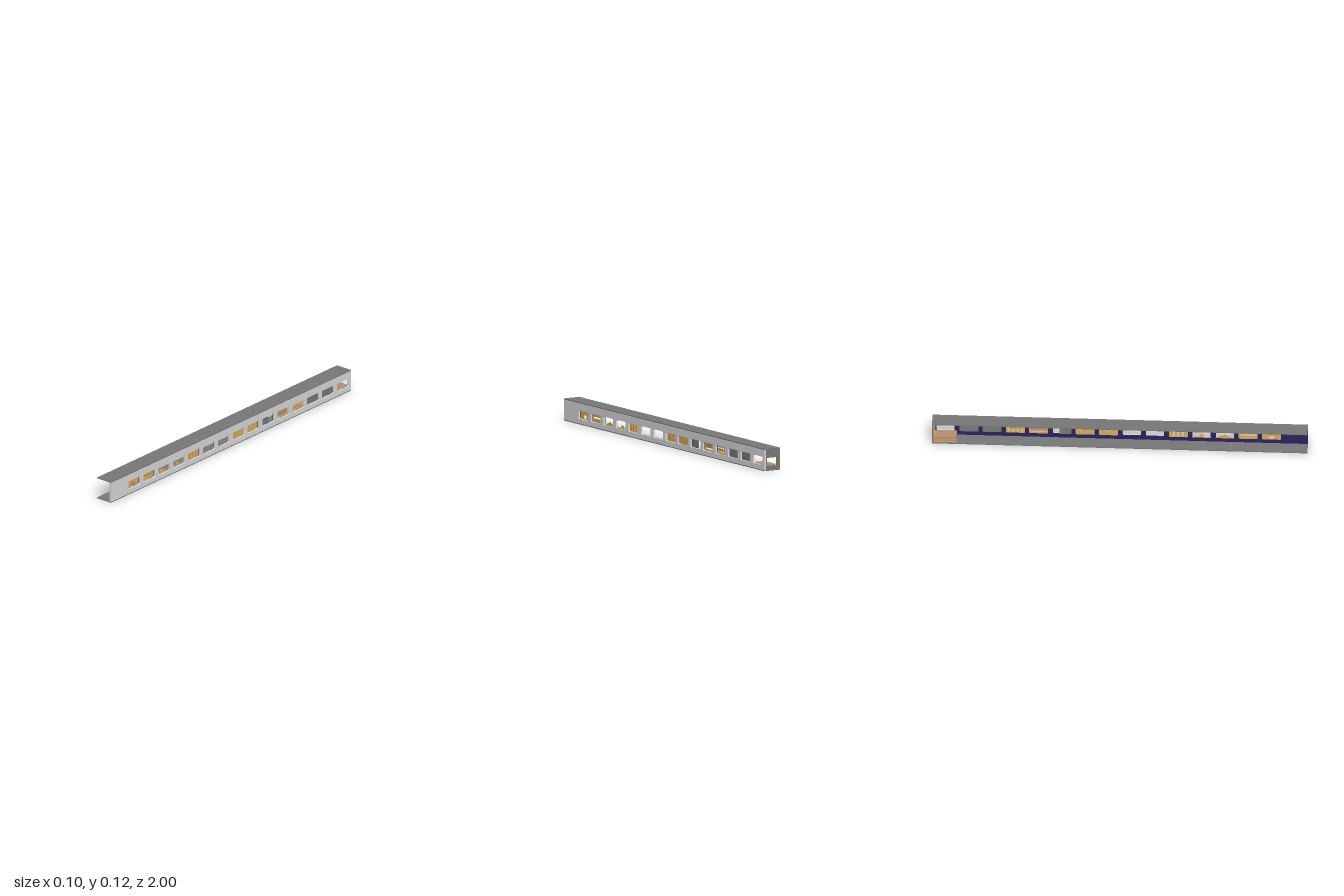
import * as THREE from 'three';

const mat = (name, color, side = THREE.FrontSide) => {
  const m = new THREE.MeshStandardMaterial({ color, side });
  m.name = name;
  return m;
};

// Rounded rectangle, for outlines and holes
function rounded(PathType, cx, cy, w, h, r) {
  const p = new PathType();
  const x0 = cx - w / 2, x1 = cx + w / 2, y0 = cy - h / 2, y1 = cy + h / 2;
  p.moveTo(x0 + r, y0);
  p.lineTo(x1 - r, y0);
  p.quadraticCurveTo(x1, y0, x1, y0 + r);
  p.lineTo(x1, y1 - r);
  p.quadraticCurveTo(x1, y1, x1 - r, y1);
  p.lineTo(x0 + r, y1);
  p.quadraticCurveTo(x0, y1, x0, y1 - r);
  p.lineTo(x0, y0 + r);
  p.quadraticCurveTo(x0, y0, x0 + r, y0);
  return p;
}

function plain(PathType, points) {
  return new PathType(points.map(([x, y]) => new THREE.Vector2(x, y)));
}

const rect = (T, x0, y0, x1, y1) => plain(T, [[x0, y0], [x1, y0], [x1, y1], [x0, y1]]);

export function createModel() {
  const model = new THREE.Group();
  const wallPaint = mat('light grey wall', 0xd9d9d9);
  const grey = mat('structure grey', 0x787878);
  const gold = mat('gold timber', 0xd9ab5c);
  const tan = mat('tan bench', 0xb8906c);
  const navy = mat('navy lining', 0x29235c, THREE.DoubleSide);

  function add(name, geometry, material, parent = model) {
    const mesh = new THREE.Mesh(geometry, material);
    mesh.name = name;
    parent.add(mesh);
    return mesh;
  }
  function box(name, x0, x1, y0, y1, z0, z1, material) {
    const m = add(name, new THREE.BoxGeometry(x1 - x0, y1 - y0, z1 - z0), material);
    m.position.set((x0 + x1) / 2, (y0 + y1) / 2, (z0 + z1) / 2);
  }
  // Extrude a side profile (u = -z, v = y) from x0 to x1
  function sidePlate(name, shape, x0, x1, material, parent = model) {
    const g = new THREE.ExtrudeGeometry(shape, { depth: x1 - x0, bevelEnabled: false, curveSegments: 4 });
    g.rotateY(Math.PI / 2).translate(x0, 0, 0);
    return add(name, g, material, parent);
  }

  // Floor and ceiling
  box('floor', -0.049, 0.049, 0, 0.0045, -1, 1, grey);
  box('ceiling', -0.049, 0.049, 0.1145, 0.119, -1, 1, grey);

  // Long wall and its thin lining, pierced by a row of windows
  const W = 0.097, H = 0.045, midY = 0.0525, count = 15;
  const windowU = i => -0.805 + i * 0.124;
  const pierced = (end) => {
    const s = rect(THREE.Shape, -1, 0.0045, end, 0.1145);
    for (let i = 0; i < count; i++) s.holes.push(rounded(THREE.Path, windowU(i), midY, W, H, 0.006));
    return s;
  };
  sidePlate('windowWall', pierced(1), 0.039, 0.049, wallPaint);
  sidePlate('wallLining', pierced(0.99), 0.0375, 0.039, navy);

  // End wall with a window, timber faced inside
  function endPlate(name, x1, z0, z1, material) {
    const s = rect(THREE.Shape, -0.049, 0.0045, x1, 0.1145);
    s.holes.push(rect(THREE.Path, -0.032, 0.026, 0.033, 0.07));
    const g = new THREE.ExtrudeGeometry(s, { depth: z1 - z0, bevelEnabled: false });
    add(name, g.translate(0, 0, z0), material);
  }
  endPlate('endWall', 0.039, -1, -0.99, grey);
  endPlate('endWallFacing', 0.0375, -0.99, -0.986, gold);
  box('endWallOuterEdge', 0.039, 0.049, 0.0045, 0.1145, -1, -0.9995, grey);
  box('endWallPlaque', -0.031, -0.012, 0.073, 0.083, -0.986, -0.983, grey);

  // Bench against the end wall
  box('benchBase', -0.04, 0.0375, 0.0045, 0.0125, -0.986, -0.87, gold);
  box('benchSeat', -0.03, 0.0375, 0.0125, 0.031, -0.986, -0.87, tan);
  box('benchStep', -0.04, -0.03, 0.0125, 0.0195, -0.986, -0.87, tan);

  // Window inserts, drawn about the centre of each window
  const P = THREE.Path, S = THREE.Shape;
  const w = W / 2 + 0.002, h = H / 2 + 0.001;
  const panel = (...holes) => {
    const s = rounded(S, 0, 0, w * 2, h * 2, 0.006);
    s.holes.push(...holes);
    return s;
  };
  const dot = (x, y, r) => {
    const p = new P();
    p.absarc(x, y, r, 0, Math.PI * 2, true);
    return p;
  };
  const stripes = [-0.024, 0, 0.024].map(x => rect(P, x - 0.0035, -0.02, x + 0.0035, 0.02));
  const dots = [[-0.012, 0.003], [0.004, -0.003], [0.018, 0.004]].map(([x, y]) => dot(x, y, 0.004));
  const chips = [[-0.03, 0.01], [-0.012, -0.008], [0.008, 0.012], [0.024, -0.004], [0.036, 0.012]]
    .map(([x, y], i) => plain(P, [[x - 0.005, y - 0.004], [x + 0.004, y - 0.005 + (i % 2) * 0.003], [x + 0.002, y + 0.006]]));
  const lattice = [];
  for (let i = 0; i < 4; i++) for (let j = 0; j < 2; j++) {
    const x = -0.036 + i * 0.024, y = -0.0105 + j * 0.021;
    lattice.push(plain(P, [[x - 0.0095, y], [x, y - 0.008], [x + 0.0095, y], [x, y + 0.008]]));
  }
  const inserts = {
    0: ['doorwayScreen', gold, [panel(rect(P, -0.013, -0.02, 0.013, 0))]],
    1: ['slotScreen', gold, [panel(rect(P, -0.046, -0.004, 0.046, 0.005))]],
    2: ['gableScreen', gold, [plain(S, [[-w, -h], [w, -h], [0, -0.002]])]],
    3: ['stubScreen', gold, [rect(S, -w, -h, w, -0.018), rect(S, -0.01, -0.018, 0.01, -0.004)]],
    4: ['stripedScreen', gold, [panel(...stripes)]],
    7: ['dottedScreen', gold, [panel(...dots)]],
    8: ['chippedScreen', gold, [panel(...chips)]],
    9: ['halfScreen', grey, [rect(S, -w, -h, 0.012, h)]],
    10: ['framedScreen', gold, [panel(rect(P, -0.041, -0.015, 0.041, 0.017))]],
    11: ['latticeScreen', gold, [panel(...lattice)]],
    12: ['solidScreen', grey, [panel()]],
    13: ['solidScreen', grey, [panel()]],
  };
  for (const [i, [name, material, shapes]] of Object.entries(inserts)) {
    const group = new THREE.Group();
    group.name = name;
    group.position.set(0, midY, -windowU(Number(i)));
    for (const s of shapes) sidePlate(name + 'Panel', s, 0.033, 0.0375, material, group);
    // Tan infill inside the framed screen
    if (i === '10') sidePlate('framedScreenInfill', rect(S, -0.041, -0.007, 0.041, 0.017), 0.034, 0.037, tan, group);
    model.add(group);
  }
  return model;
}
